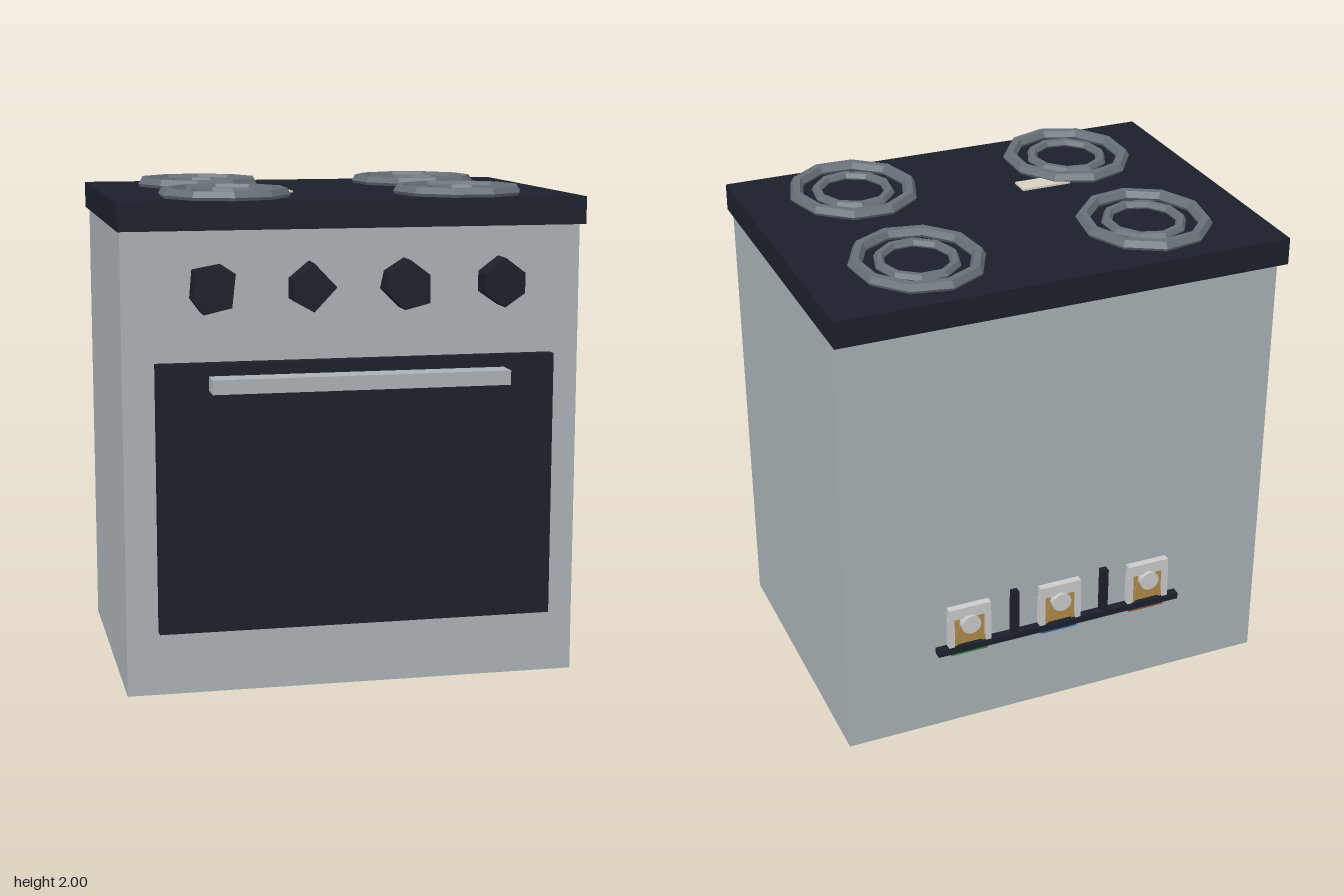
import * as THREE from 'three';

const mat = (color, extra = {}) => new THREE.MeshStandardMaterial({ color, ...extra });
const steel = mat(0xaab2b7);
const black = mat(0x1b202a);
const coil = mat(0x667077, { flatShading: true });
const cream = mat(0xd8d0c0);
const brass = mat(0xb08a4a);
const silver = mat(0xc4c6c4);

// Box given by its min and max on each axis
function box(name, material, [x0, x1], [y0, y1], [z0, z1]) {
  const mesh = new THREE.Mesh(new THREE.BoxGeometry(x1 - x0, y1 - y0, z1 - z0), material);
  mesh.position.set((x0 + x1) / 2, (y0 + y1) / 2, (z0 + z1) / 2);
  mesh.name = name;
  return mesh;
}

// Faceted heating ring lying flat, slightly longer front to back
function ring(name, rx, rz, tube, y, turn) {
  const geo = new THREE.TorusGeometry(rx - tube, tube, 6, 10);
  geo.rotateX(Math.PI / 2).rotateY(turn).scale(1, 1, rz / rx);
  const mesh = new THREE.Mesh(geo, coil);
  mesh.position.y = y;
  mesh.name = name;
  return mesh;
}

function burner(x, z, turn) {
  const group = new THREE.Group();
  group.name = 'burner';
  group.add(ring('outerRing', 0.265, 0.29, 0.028, 1.972, turn));
  group.add(ring('innerRing', 0.168, 0.185, 0.021, 1.968, turn + 0.2));
  group.position.set(x, 0, z);
  return group;
}

// Irregular low-poly knob extruded from its outline
function knob(points) {
  const shape = new THREE.Shape(points.map(([x, y]) => new THREE.Vector2(x, y)));
  const mesh = new THREE.Mesh(
    new THREE.ExtrudeGeometry(shape, { depth: 0.11, bevelEnabled: false }), black);
  mesh.position.z = 0.59;
  mesh.name = 'knob';
  return mesh;
}

// One wire clamp: metal plate, brass jaws, screw and colour tag
function terminal(x, tagColor) {
  const group = new THREE.Group();
  group.name = 'terminal';
  group.add(box('clampPlate', silver, [-0.09, 0.09], [0.52, 0.57], [-0.72, -0.69]));
  group.add(box('clampBack', brass, [-0.085, 0.085], [0.385, 0.52], [-0.705, -0.69]));
  for (const s of [-1, 1]) {
    group.add(box('clampJaw', silver, [s * 0.08 - 0.012, s * 0.08 + 0.012], [0.385, 0.52], [-0.72, -0.69]));
    const brace = box('clampBrace', brass, [-0.01, 0.01], [0.385, 0.5], [-0.713, -0.7]);
    brace.position.x = s * 0.045;
    brace.rotation.z = s * 0.35;
    group.add(brace);
  }
  const screw = new THREE.Mesh(new THREE.CylinderGeometry(0.042, 0.042, 0.04, 12), silver);
  screw.rotation.x = Math.PI / 2;
  screw.position.set(0, 0.49, -0.715);
  screw.name = 'screw';
  group.add(screw);
  group.add(box('colorTag', mat(tagColor), [-0.08, 0.08], [0.34, 0.365], [-0.71, -0.69]));
  group.position.x = x;
  return group;
}

export function createModel() {
  const stove = new THREE.Group();
  stove.name = 'stove';

  // Cabinet, cooktop, oven door and handle
  stove.add(box('body', steel, [-0.923, 0.92], [0, 1.86], [-0.69, 0.57]));
  stove.add(box('cooktop', black, [-0.935, 0.93], [1.85, 1.96], [-0.75, 0.62]));
  stove.add(box('ovenDoor', black, [-0.8, 0.795], [0.27, 1.34], [0.6, 0.65]));
  stove.add(box('doorHandle', steel, [-0.595, 0.588], [1.235, 1.292], [0.645, 0.75]));

  // Burners
  let turn = 0;
  for (const x of [-0.48, 0.475]) {
    for (const z of [-0.395, 0.335]) stove.add(burner(x, z, (turn += 0.15)));
  }

  // Small marker on the cooktop
  stove.add(box('marker', cream, [-0.38, -0.17], [1.955, 1.968], [0.08, 0.165]));

  // Knobs
  const knobs = [
    [[-0.65, 1.7], [-0.54, 1.72], [-0.495, 1.69], [-0.51, 1.56], [-0.62, 1.535], [-0.66, 1.59]],
    [[-0.27, 1.66], [-0.19, 1.725], [-0.1, 1.63], [-0.19, 1.535], [-0.27, 1.58]],
    [[0.19, 1.73], [0.27, 1.67], [0.27, 1.56], [0.17, 1.535], [0.095, 1.61], [0.11, 1.68]],
    [[0.575, 1.73], [0.655, 1.67], [0.655, 1.59], [0.575, 1.535], [0.495, 1.59], [0.495, 1.67]],
  ];
  for (const k of knobs) stove.add(knob(k.reverse()));

  // Wiring block on the back
  const wiring = new THREE.Group();
  wiring.name = 'terminalBlock';
  wiring.add(box('terminalRail', black, [-0.54, 0.54], [0.36, 0.388], [-0.725, -0.69]));
  for (const x of [-0.2, 0.2]) {
    wiring.add(box('divider', black, [x - 0.015, x + 0.015], [0.38, 0.585], [-0.72, -0.69]));
  }
  [[0.4, 0x3a8a45], [0, 0x2f5f9e], [-0.4, 0x8a4a28]].forEach(([x, c]) => wiring.add(terminal(x, c)));
  stove.add(wiring);

  return stove;
}
